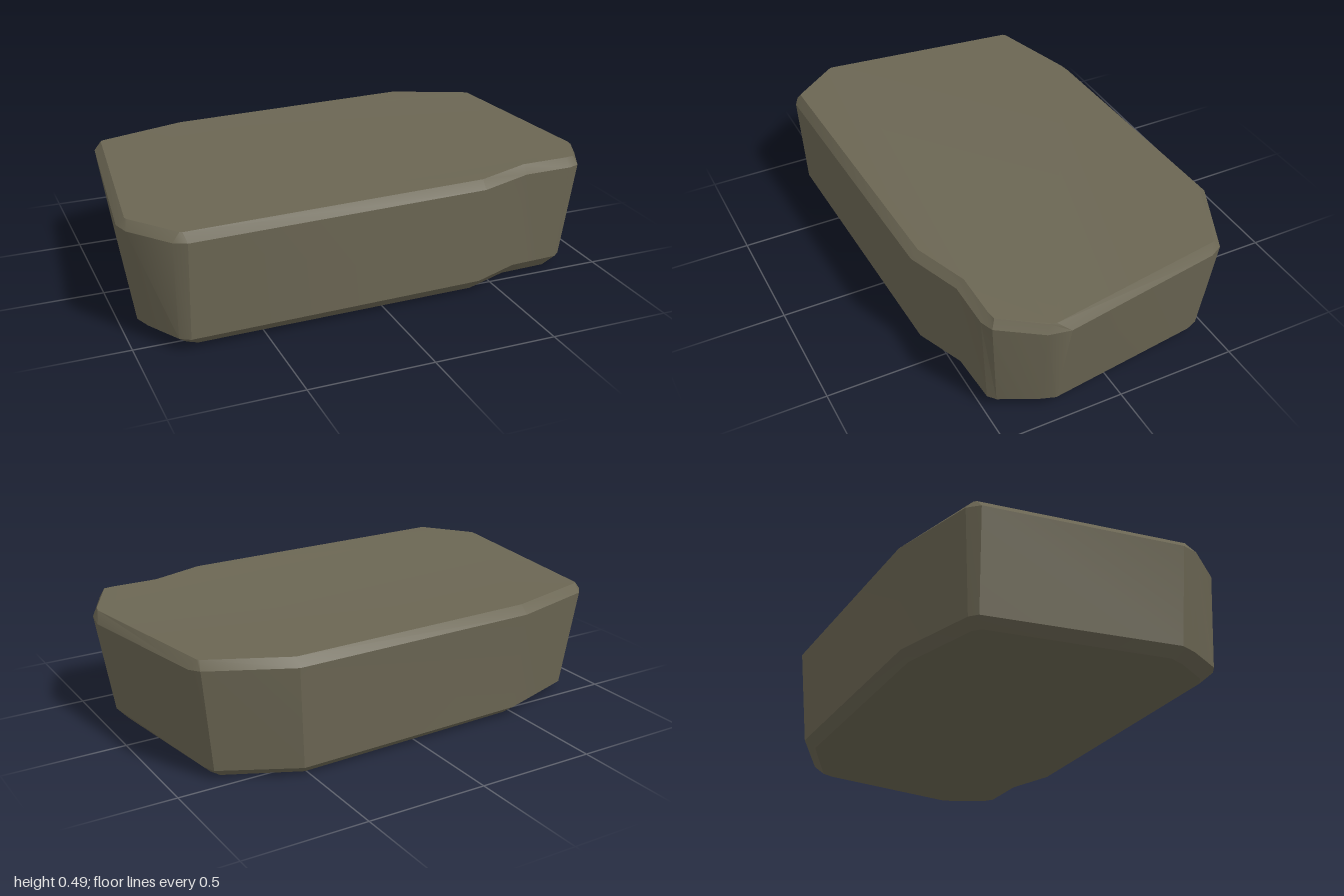
import * as THREE from 'three';
import { toCreasedNormals } from 'three/addons/utils/BufferGeometryUtils.js';

const CENTRE = new THREE.Vector3(0, 0.25, 0);

// Lifts a flat [x, z] outline to heights given by a rule
const ring = (outline, height) =>
  outline.map(([x, z]) => new THREE.Vector3(x, height(x, z), z));

export function createModel() {
  const stone = new THREE.MeshStandardMaterial({ color: 0x6b6653 });
  stone.name = 'olive stone';

  // Outlines run clockwise seen from above, starting at the back right corner
  const rim = [
    [-0.91, -0.45], [-0.87, -0.495], [-0.5, -0.6], [0.56, -0.63],
    [0.88, -0.48], [0.905, -0.43], [1, 0.23], [0.985, 0.32],
    [0.89, 0.49], [0.84, 0.51], [0.64, 0.51], [0.41, 0.59],
    [-0.8, 0.62], [-0.85, 0.595], [-0.98, 0.43], [-1, 0.36],
  ];
  const crown = [
    [-0.88, -0.455], [-0.87, -0.465], [-0.5, -0.565], [0.56, -0.6],
    [0.87, -0.455], [0.877, -0.445], [0.977, 0.28], [0.97, 0.31],
    [0.875, 0.475], [0.84, 0.48], [0.64, 0.48], [0.41, 0.56],
    [-0.81, 0.59], [-0.82, 0.585], [-0.965, 0.4], [-0.972, 0.385],
  ];
  const foot = [
    [-0.85, -0.43], [-0.82, -0.46], [-0.48, -0.57], [0.53, -0.6],
    [0.83, -0.45], [0.85, -0.4], [0.94, 0.25], [0.92, 0.31],
    [0.85, 0.455], [0.82, 0.48], [0.61, 0.49], [0.41, 0.57],
    [-0.8, 0.6], [-0.84, 0.575], [-0.92, 0.43], [-0.945, 0.36],
  ];
  const base = foot.map(([x, z]) => [x * 0.955, z * 0.93]);

  // Slightly tilted levels, with the left edge of the top dipping
  const dip = (x) => 0.2 * Math.max(0, x - 0.88);
  const rings = [
    ring(base, (x, z) => Math.max(0, 0.006 - 0.005 * x + 0.005 * z)),
    ring(foot, (x, z) => 0.046 + 0.012 * z),
    ring(rim, (x) => 0.455 + 0.006 * x - dip(x)),
    ring(crown, (x) => 0.489 + 0.006 * x - dip(x)),
  ];

  const positions = [];
  // Adds a triangle turned away from the centre
  function addFace(a, b, c) {
    const normal = b.clone().sub(a).cross(c.clone().sub(a));
    const outward = a.clone().add(b).add(c).divideScalar(3).sub(CENTRE);
    const corners = normal.dot(outward) > 0 ? [a, b, c] : [a, c, b];
    for (const p of corners) positions.push(p.x, p.y, p.z);
  }

  // Bottom chamfer, walls and top chamfer
  for (let r = 0; r < rings.length - 1; r++) {
    const low = rings[r], high = rings[r + 1];
    for (let i = 0; i < low.length; i++) {
      const j = (i + 1) % low.length;
      addFace(low[i], high[i], high[j]);
      addFace(low[i], high[j], low[j]);
    }
  }

  // Top and bottom faces
  for (const cap of [rings[0], rings[3]]) {
    const flat = cap.map((p) => new THREE.Vector2(p.x, p.z));
    for (const [a, b, c] of THREE.ShapeUtils.triangulateShape(flat, []))
      addFace(cap[a], cap[b], cap[c]);
  }

  const geometry = new THREE.BufferGeometry();
  geometry.setAttribute('position', new THREE.Float32BufferAttribute(positions, 3));
  const slab = new THREE.Mesh(toCreasedNormals(geometry, 0.45), stone);
  slab.name = 'rockSlab';

  const group = new THREE.Group();
  group.name = 'flatRock';
  group.add(slab);
  return group;
}
